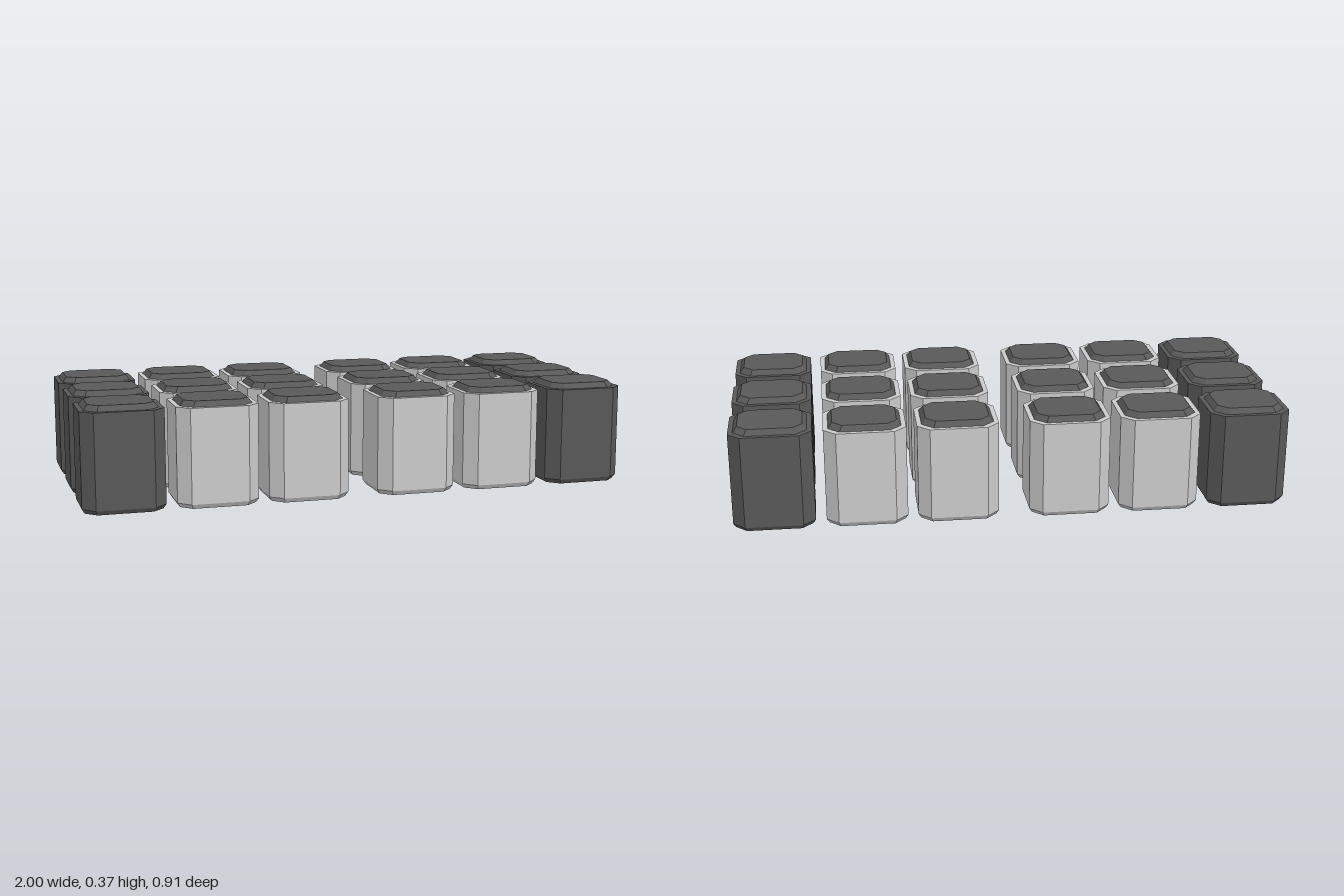
import * as THREE from 'three';

const grey = new THREE.MeshStandardMaterial({ color: 0xcccccc, flatShading: true });
const dark = new THREE.MeshStandardMaterial({ color: 0x595959, flatShading: true });

// Rectangle with cut corners at height y
function section(y, w, d, cut) {
  return [
    [w, d - cut], [w - cut, d], [cut - w, d], [-w, d - cut],
    [-w, cut - d], [cut - w, -d], [w - cut, -d], [w, cut - d],
  ].map(([x, z]) => new THREE.Vector3(x, y, z));
}

// Closed faceted solid through a stack of sections, lowest first
function loft(sections) {
  const tris = [];
  const top = sections[sections.length - 1];
  const n = top.length;
  for (let i = 0; i < n; i++) {
    const j = (i + 1) % n;
    for (let k = 0; k < sections.length - 1; k++) {
      const lo = sections[k], up = sections[k + 1];
      tris.push(lo[i], up[i], lo[j], lo[j], up[i], up[j]);
    }
    tris.push(new THREE.Vector3(0, top[0].y, 0), top[j], top[i]);
    tris.push(new THREE.Vector3(0, sections[0][0].y, 0), sections[0][i], sections[0][j]);
  }
  const geometry = new THREE.BufferGeometry().setFromPoints(tris);
  geometry.computeVertexNormals();
  return geometry;
}

export function createModel() {
  const model = new THREE.Group();
  model.name = 'containerArray';

  // Body with a bevelled foot
  const bodyGeometry = loft([
    section(0, 0.135, 0.121, 0.039),
    section(0.016, 0.145, 0.131, 0.043),
    section(0.353, 0.145, 0.131, 0.043),
  ]);
  // Sloped lid, sunk slightly into the body
  const lidGeometry = loft([
    section(0.345, 0.128, 0.114, 0.04),
    section(0.353, 0.128, 0.114, 0.04),
    section(0.372, 0.113, 0.098, 0.034),
  ]);

  // Two banks of three columns, three rows deep; the end columns are dark
  for (const side of [-1, 1]) {
    [0.2, 0.527, 0.855].forEach((x, column) => {
      for (const z of [-0.325, 0, 0.325]) {
        const container = new THREE.Group();
        container.name = 'container';
        const body = new THREE.Mesh(bodyGeometry, column === 2 ? dark : grey);
        body.name = 'body';
        const lid = new THREE.Mesh(lidGeometry, dark);
        lid.name = 'lid';
        container.add(body, lid);
        container.position.set(side * x, 0, z);
        model.add(container);
      }
    });
  }
  return model;
}
